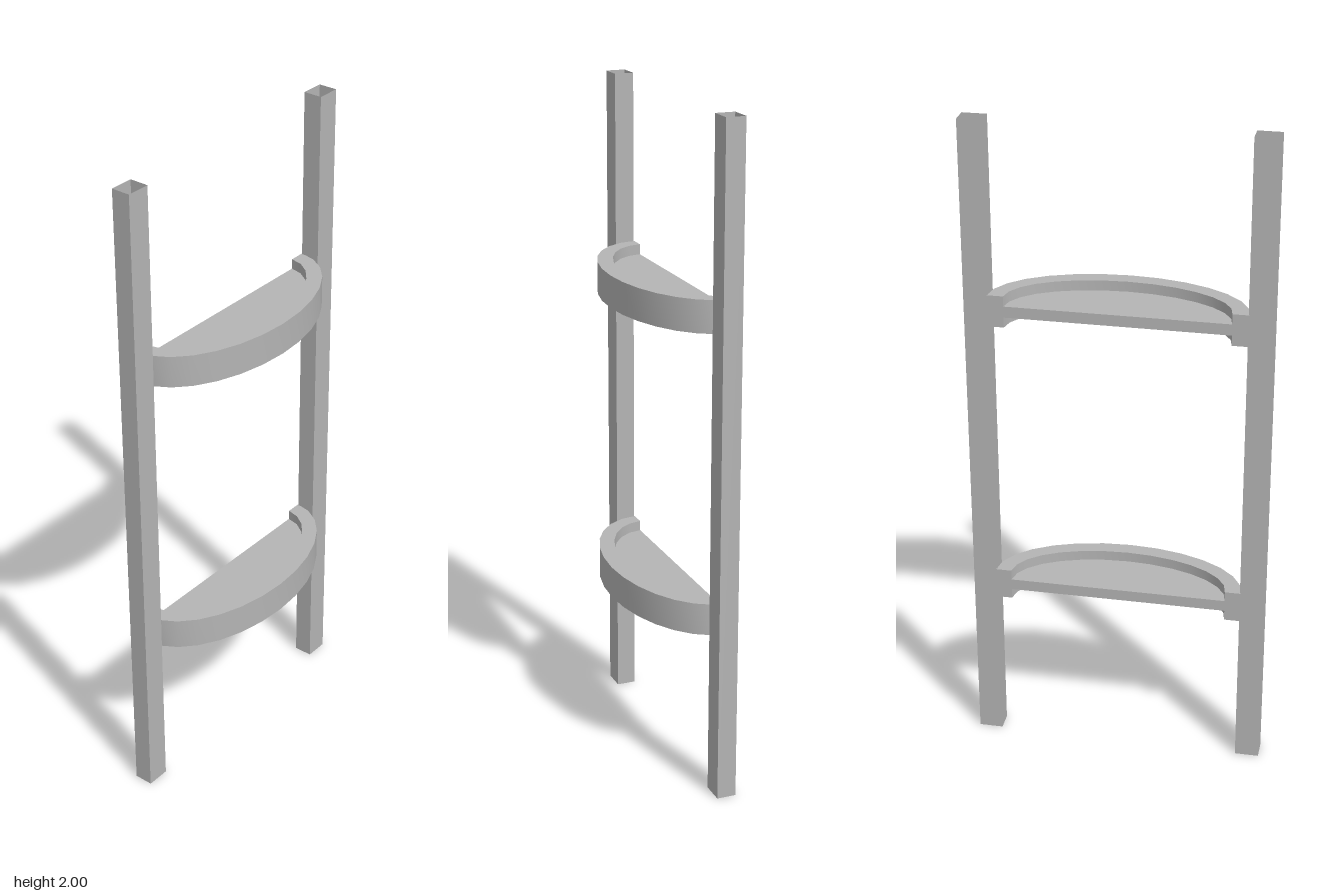
import * as THREE from 'three';
import { toCreasedNormals } from 'three/addons/utils/BufferGeometryUtils.js';

const SEGMENTS = 14;
const BACK_X = -0.11;

// Points of a half ellipse bulging towards +x, from one end to the other
function halfEllipse(rx, rz) {
  const points = [];
  for (let i = 0; i <= SEGMENTS; i++) {
    const a = -Math.PI / 2 + (Math.PI * i) / SEGMENTS;
    points.push(new THREE.Vector2(BACK_X + rx * Math.cos(a), rz * Math.sin(a)));
  }
  return points;
}

// Extrudes a floor plan upwards from y = 0
function slab(points, height) {
  const geometry = new THREE.ExtrudeGeometry(new THREE.Shape(points), {
    depth: height, bevelEnabled: false,
  });
  geometry.rotateX(-Math.PI / 2);
  return toCreasedNormals(geometry, 0.6);
}

// Square tube standing on y = 0, open at both ends
function openPost(width, height, depth) {
  const geometry = new THREE.BoxGeometry(width, height, depth);
  const index = Array.from(geometry.index.array);
  const caps = geometry.groups.filter((g) => g.materialIndex === 2 || g.materialIndex === 3);
  geometry.setIndex(index.filter((_, i) => !caps.some((g) => i >= g.start && i < g.start + g.count)));
  geometry.clearGroups();
  return geometry.translate(0, height / 2, 0);
}

export function createModel() {
  const model = new THREE.Group();
  model.name = 'wallShelf';
  const grey = new THREE.MeshStandardMaterial({ color: 0xb4b4b4, side: THREE.DoubleSide });
  grey.name = 'grey';

  const add = (parent, name, geometry, x, y, z) => {
    const mesh = new THREE.Mesh(geometry, grey);
    mesh.name = name;
    mesh.position.set(x, y, z);
    parent.add(mesh);
  };

  // Two hollow upright posts
  const post = openPost(0.058, 2, 0.072);
  add(model, 'frontPost', post, -0.078, 0, 0.408);
  add(model, 'backPost', post, -0.078, 0, -0.408);

  // Two half-oval shelves: a raised rim around a thinner board
  const inner = halfEllipse(0.172, 0.327);
  const rim = slab([...halfEllipse(0.22, 0.375), ...[...inner].reverse()], 0.096);
  const board = slab(inner, 0.034);
  [['lowerShelf', 0.488], ['upperShelf', 1.391]].forEach(([name, y]) => {
    const shelf = new THREE.Group();
    shelf.name = name;
    shelf.position.y = y;
    add(shelf, 'rim', rim, 0, 0, 0);
    add(shelf, 'board', board, 0, 0.031, 0);
    model.add(shelf);
  });

  return model;
}
